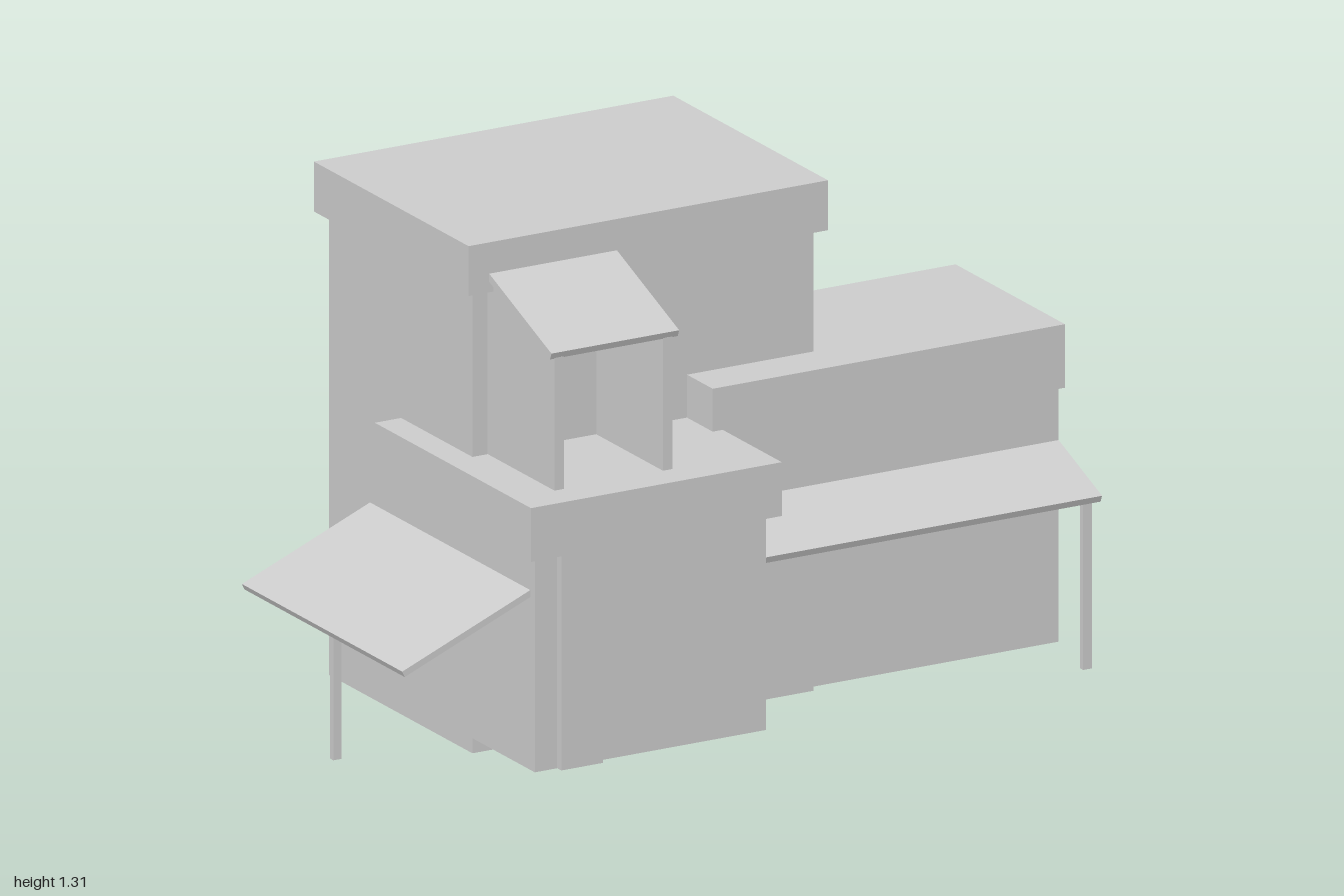
import * as THREE from 'three';

const material = new THREE.MeshStandardMaterial({ color: 0xcccccc, flatShading: true });

export function createModel() {
  const house = new THREE.Group();
  house.name = 'house';

  const add = (name, geometry) => {
    const mesh = new THREE.Mesh(geometry, material);
    mesh.name = name;
    house.add(mesh);
  };

  // Box given by its extents on each axis
  const block = (name, [x0, x1], [y0, y1], [z0, z1]) => {
    const g = new THREE.BoxGeometry(x1 - x0, y1 - y0, z1 - z0);
    g.translate((x0 + x1) / 2, (y0 + y1) / 2, (z0 + z1) / 2);
    add(name, g);
  };

  const extrude = (points, depth) => new THREE.ExtrudeGeometry(
    new THREE.Shape(points.map(([u, v]) => new THREE.Vector2(u, v))),
    { depth, bevelEnabled: false });

  // Profile in (z, y), extruded from x0 to x1
  const sideProfile = (name, points, [x0, x1]) =>
    add(name, extrude(points, x1 - x0).rotateY(-Math.PI / 2).translate(x1, 0, 0));

  // Profile in (x, y), extruded from z0 to z1
  const frontProfile = (name, points, [z0, z1]) =>
    add(name, extrude(points, z1 - z0).translate(0, 0, z0));

  // Main tower with overhanging flat roof
  block('tower', [-0.593, 0.365], [0, 1.185], [-0.54, 0.156]);
  block('towerRoof', [-0.62, 0.39], [1.185, 1.313], [-0.567, 0.184]);

  // Entrance bay with pilaster and roof slab
  block('bay', [-0.64, 0.01], [0.07, 0.622], [-0.163, 0.54]);
  block('bayPilaster', [-0.577, -0.46], [0.07, 0.622], [0.5, 0.56]);
  block('bayRoof', [-0.667, 0.038], [0.622, 0.76], [-0.19, 0.568]);

  // Side wing with a stepped-out parapet on its front
  sideProfile('wing', [
    [-0.25, 0.047], [0.25, 0.047], [0.25, 0.707], [0.281, 0.707], [0.281, 0.87], [-0.25, 0.87],
  ], [0.01, 1]);

  // Wing awning on two posts
  sideProfile('wingAwning', [
    [0.25, 0.543], [0.454, 0.465], [0.461, 0.482], [0.25, 0.564],
  ], [0.01, 1]);
  for (const x of [0.032, 0.956]) {
    block('wingAwningPost', [x, x + 0.025], [0.038, 0.474], [0.43, 0.445]);
  }

  // Awning on the opposite side, on one central post
  frontProfile('sideAwning', [
    [-1, 0.382], [-0.993, 0.367], [-0.64, 0.513], [-0.64, 0.531],
  ], [-0.26, 0.518]);
  block('sideAwningPost', [-0.973, -0.95], [0.04, 0.381], [0.121, 0.137]);

  // Balcony shelter: two side walls under a sloping roof
  for (const x of [-0.55, -0.245]) {
    sideProfile('shelterWall', [
      [0.15, 0.75], [0.48, 0.75], [0.48, 1.1], [0.15, 1.226],
    ], [x, x + 0.027]);
  }
  sideProfile('shelterRoof', [
    [0.15, 1.225], [0.479, 1.098], [0.486, 1.115], [0.15, 1.246],
  ], [-0.562, -0.203]);

  return house;
}
